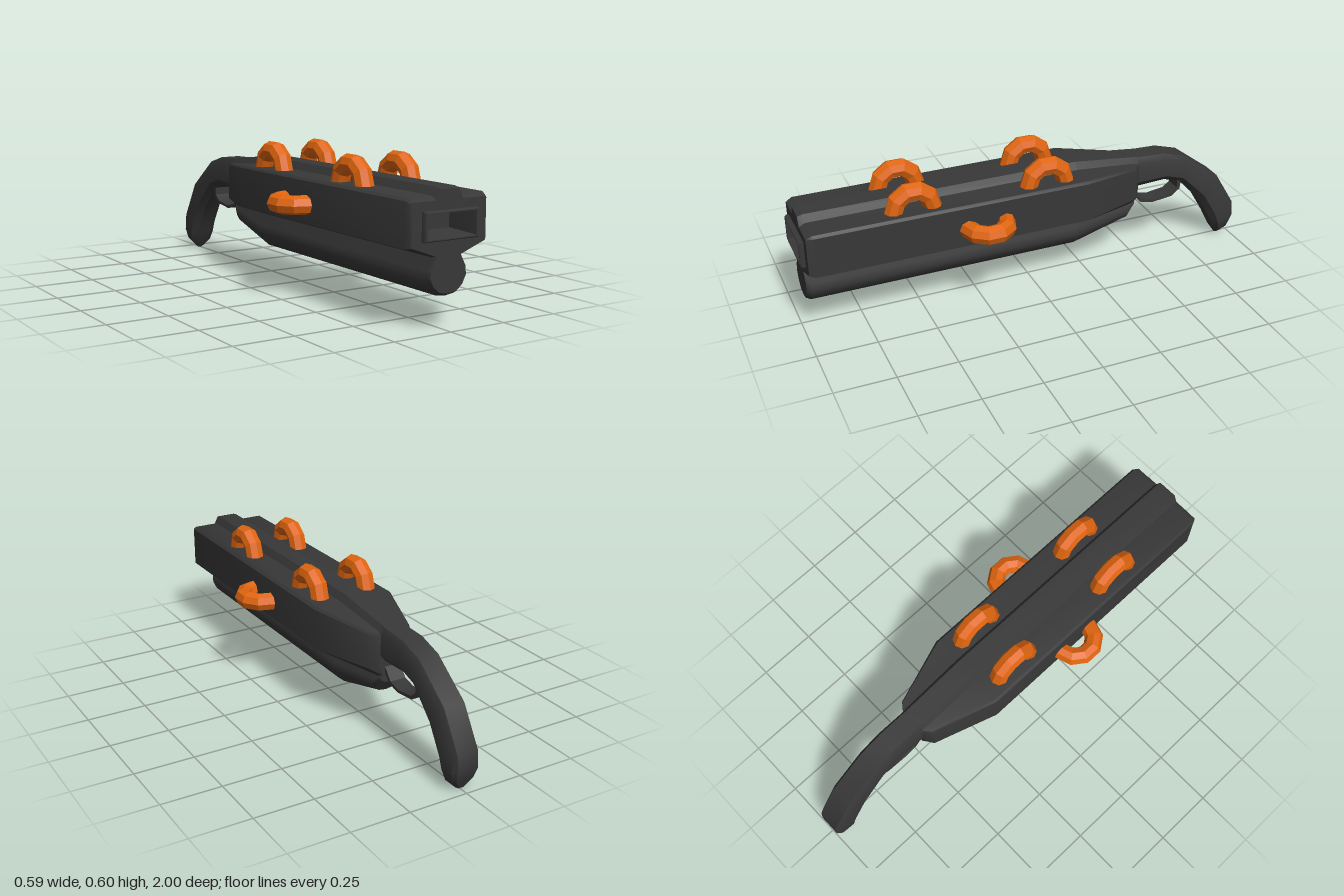
import * as THREE from 'three';
import { toCreasedNormals } from 'three/addons/utils/BufferGeometryUtils.js';

const dark = new THREE.MeshStandardMaterial({ color: 0x383838 });
const orange = new THREE.MeshStandardMaterial({ color: 0xe0650f, flatShading: true });

// Skin a list of equal-length rings, ordered front to back, each anticlockwise seen from +z
function loft(rings, { front = true, back = true } = {}) {
  const pos = [];
  const tri = (...pts) => pts.forEach((p) => pos.push(...p));
  const n = rings[0].length;
  const cap = (ring, flip) => {
    const c = [0, 1, 2].map((k) => ring.reduce((s, p) => s + p[k], 0) / n);
    ring.forEach((p, j) => {
      const q = ring[(j + 1) % n];
      flip ? tri(c, q, p) : tri(c, p, q);
    });
  };
  for (let i = 0; i < rings.length - 1; i++) {
    for (let j = 0; j < n; j++) {
      const k = (j + 1) % n;
      const a = rings[i][j], b = rings[i][k], c = rings[i + 1][j], d = rings[i + 1][k];
      tri(a, c, b);
      tri(b, c, d);
    }
  }
  if (front) cap(rings[0], false);
  if (back) cap(rings[rings.length - 1], true);
  const g = new THREE.BufferGeometry();
  g.setAttribute('position', new THREE.Float32BufferAttribute(pos, 3));
  return toCreasedNormals(g, 0.6);
}

// Right half of an outline (bottom to top) mirrored into a full ring
const mirrored = (half) => [...half, ...half.filter((p) => p[0] > 0).reverse().map(([x, y]) => [-x, y])];
const atZ = (outline, z) => outline.map(([x, y]) => [x, y, z]);

// Rings spanned between an upper and a lower edge point: [zTop, yTop, zBottom, yBottom, halfWidth]
const spanned = (profile, stations) => stations.map(([zt, yt, zb, yb, w]) =>
  profile.map(([u, v]) => [u * w, (yt + yb) / 2 + v * (yt - yb) / 2, (zt + zb) / 2 + v * (zt - zb) / 2]));

const rect = (w, y0, y1) => [[w, y0], [w, y1], [-w, y1], [-w, y0]];

export function createModel() {
  const model = new THREE.Group();
  const add = (name, geometry, material = dark) => {
    const mesh = new THREE.Mesh(geometry, material);
    mesh.name = name;
    model.add(mesh);
    return mesh;
  };

  // Receiver with raised top ridge, tapering to the rear
  const body = mirrored([[0.06, 0.27], [0.18, 0.31], [0.18, 0.48], [0.17, 0.49], [0.06, 0.49], [0.042, 0.52]]);
  const face = mirrored([[0.057, 0.275], [0.168, 0.316], [0.168, 0.47], [0.165, 0.476], [0.06, 0.476], [0.042, 0.514]]);
  const rear = mirrored([[0.05, 0.27], [0.092, 0.31], [0.092, 0.452], [0.087, 0.462], [0.057, 0.465], [0.042, 0.489]]);
  const end = mirrored([[0.045, 0.28], [0.06, 0.32], [0.06, 0.445], [0.058, 0.455], [0.055, 0.462], [0.042, 0.486]]);
  add('receiver', loft([atZ(face, 0.98), atZ(body, 0.955), atZ(body, -0.2), atZ(rear, -0.47), atZ(end, -0.495)], { front: false }));

  // Front plate with the slot opening
  const plate = new THREE.Shape(face.map((p) => new THREE.Vector2(...p)));
  plate.holes.push(new THREE.Path(rect(0.115, 0.338, 0.435).map((p) => new THREE.Vector2(...p))));
  add('frontPlate', new THREE.ShapeGeometry(plate).translate(0, 0, 0.98));

  // Muzzle frame and its recessed slot
  add('muzzle', loft([
    atZ(rect(0.098, 0.35, 0.424), 0.86),
    atZ(rect(0.106, 0.344, 0.43), 0.985),
    atZ(rect(0.11, 0.341, 0.433), 1.0),
    atZ(rect(0.118, 0.336, 0.437), 1.0),
    atZ(rect(0.123, 0.332, 0.441), 0.992),
    atZ(rect(0.123, 0.332, 0.441), 0.97),
  ], { back: false }));

  // Rounded tube under the receiver, rising at the rear
  const tube = mirrored([[0, 0.125], [0.042, 0.131], [0.07, 0.155], [0.087, 0.19], [0.084, 0.225], [0.06, 0.27], [0.055, 0.31]]);
  const tubeStations = [[0.98, 0.137, 0.93], [0.96, 0.125, 1], [-0.2, 0.125, 1], [-0.45, 0.19, 0.72], [-0.485, 0.24, 0.58]];
  add('lowerTube', loft(tubeStations.map(([z, bottom, s]) =>
    tube.map(([x, y]) => [x * s, bottom + (y - 0.125) * (0.31 - bottom) / 0.185, z]))));

  // Curved grip
  const octagon = mirrored([[0.55, -1], [1, -0.6], [1, 0.6], [0.76, 1]]);
  add('grip', loft(spanned(octagon, [
    [-0.45, 0.488, -0.45, 0.335, 0.057],
    [-0.53, 0.482, -0.53, 0.34, 0.057],
    [-0.625, 0.478, -0.64, 0.345, 0.058],
    [-0.73, 0.447, -0.72, 0.32, 0.058],
    [-0.9, 0.32, -0.82, 0.215, 0.06],
    [-0.995, 0.165, -0.88, 0.115, 0.06],
    [-1, 0.095, -0.9, 0.075, 0.06],
    [-0.985, 0.05, -0.92, 0.035, 0.05],
    [-0.965, 0.006, -0.94, 0.0, 0.012],
  ])));

  // Trigger guard strip: inner edge, outer edge
  add('triggerGuard', loft(spanned([[1, -1], [1, 1], [-1, 1], [-1, -1]], [
    [-0.475, 0.335, -0.475, 0.315, 0.035],
    [-0.505, 0.305, -0.492, 0.295, 0.035],
    [-0.535, 0.268, -0.525, 0.257, 0.035],
    [-0.59, 0.255, -0.585, 0.243, 0.035],
    [-0.675, 0.267, -0.68, 0.254, 0.035],
    [-0.705, 0.292, -0.72, 0.285, 0.035],
    [-0.705, 0.34, -0.725, 0.34, 0.035],
  ])));

  // Half rings on the top and sides
  const halfRing = new THREE.TorusGeometry(0.08, 0.039, 8, 5, Math.PI);
  const topRing = halfRing.clone().rotateY(Math.PI / 2);
  for (const side of [1, -1]) {
    for (const z of [0.535, -0.04]) add('topRing', topRing, orange).position.set(0.11 * side, 0.488, z);
    const sideRing = halfRing.clone().rotateZ(-side * Math.PI / 2).rotateX(Math.PI / 2);
    add('sideRing', sideRing, orange).position.set(0.183 * side, 0.387, 0.25);
  }
  return model;
}
